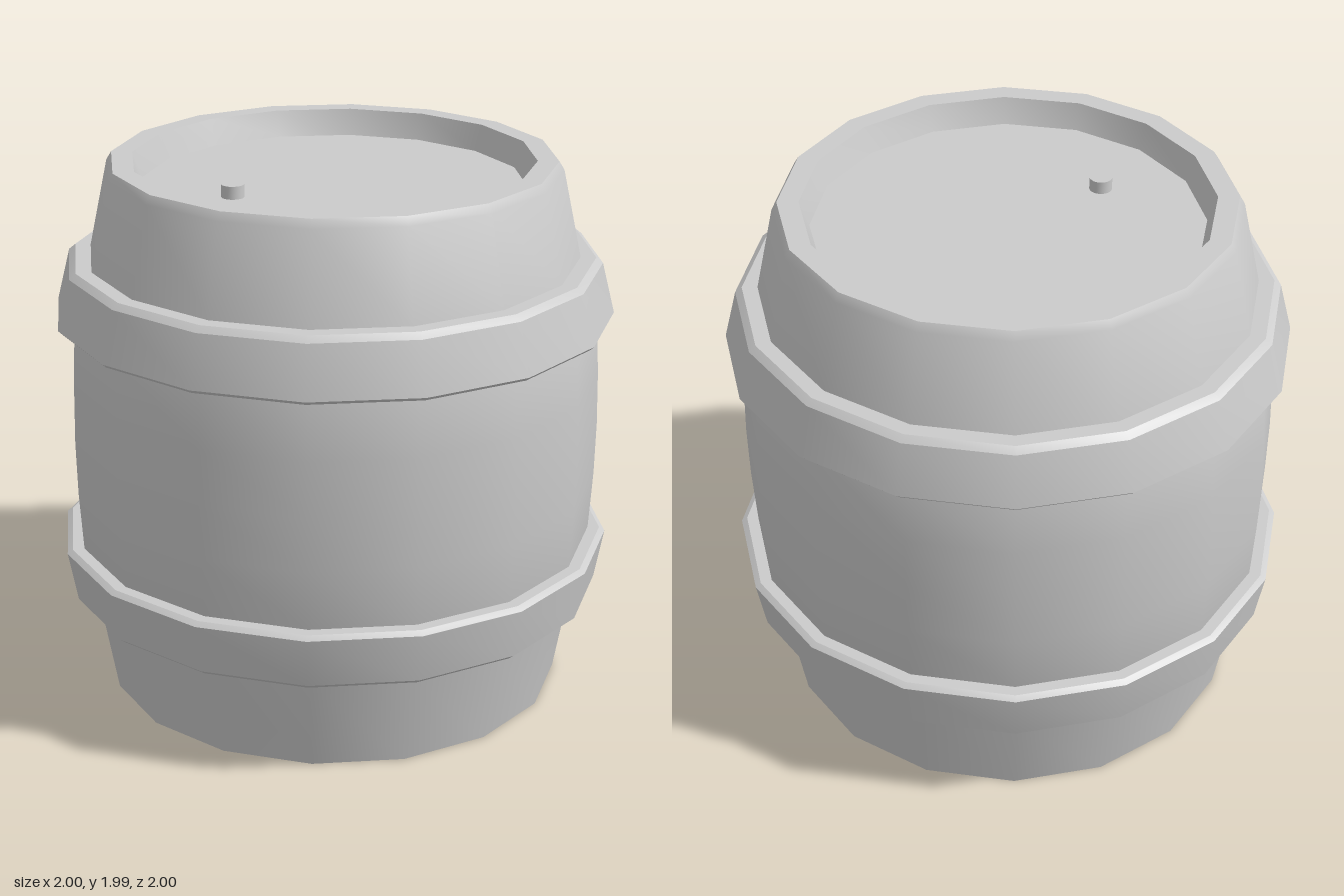
import * as THREE from 'three';
import { toCreasedNormals } from 'three/addons/utils/BufferGeometryUtils.js';

const SIDES = 16;
const HALF_STEP = Math.PI / SIDES;

// Turns a profile of [distance to flat side, height] pairs into a 16-sided solid.
function turned(name, profile, material) {
  const points = profile.map(([r, y]) => new THREE.Vector2(r / Math.cos(HALF_STEP), y));
  const lathe = new THREE.LatheGeometry(points, SIDES, HALF_STEP);
  const mesh = new THREE.Mesh(toCreasedNormals(lathe, 0.5), material);
  mesh.name = name;
  return mesh;
}

export function createModel() {
  const group = new THREE.Group();
  group.name = 'barrel';
  const material = new THREE.MeshStandardMaterial({ color: 0xcccccc });

  // Bulging body with a chamfered rim and a recessed lid
  group.add(turned('body', [
    [0, 0], [0.828, 0], [0.89, 0.36], [0.938, 0.58], [0.951, 0.8], [0.955, 1],
    [0.951, 1.2], [0.938, 1.42], [0.873, 1.635], [0.805, 1.955], [0.787, 1.985],
    [0.712, 1.985], [0.68, 1.89], [0, 1.89],
  ], material));

  // Tapered hoops with chamfered edges, widest toward the middle of the body
  group.add(turned('upperHoop', [
    [0.9, 1.417], [0.985, 1.417], [0.998, 1.43], [0.952, 1.615], [0.928, 1.635], [0.84, 1.635],
  ], material));
  group.add(turned('lowerHoop', [
    [0.85, 0.365], [0.945, 0.365], [0.967, 0.383], [1, 0.568], [0.98, 0.582], [0.9, 0.582],
  ], material));

  // Small peg on the lid
  const peg = new THREE.Mesh(
    toCreasedNormals(new THREE.CylinderGeometry(0.041, 0.041, 0.055, 24), 0.5), material);
  peg.name = 'lidPeg';
  peg.position.set(-0.283, 1.909, 0.285);
  group.add(peg);

  return group;
}
